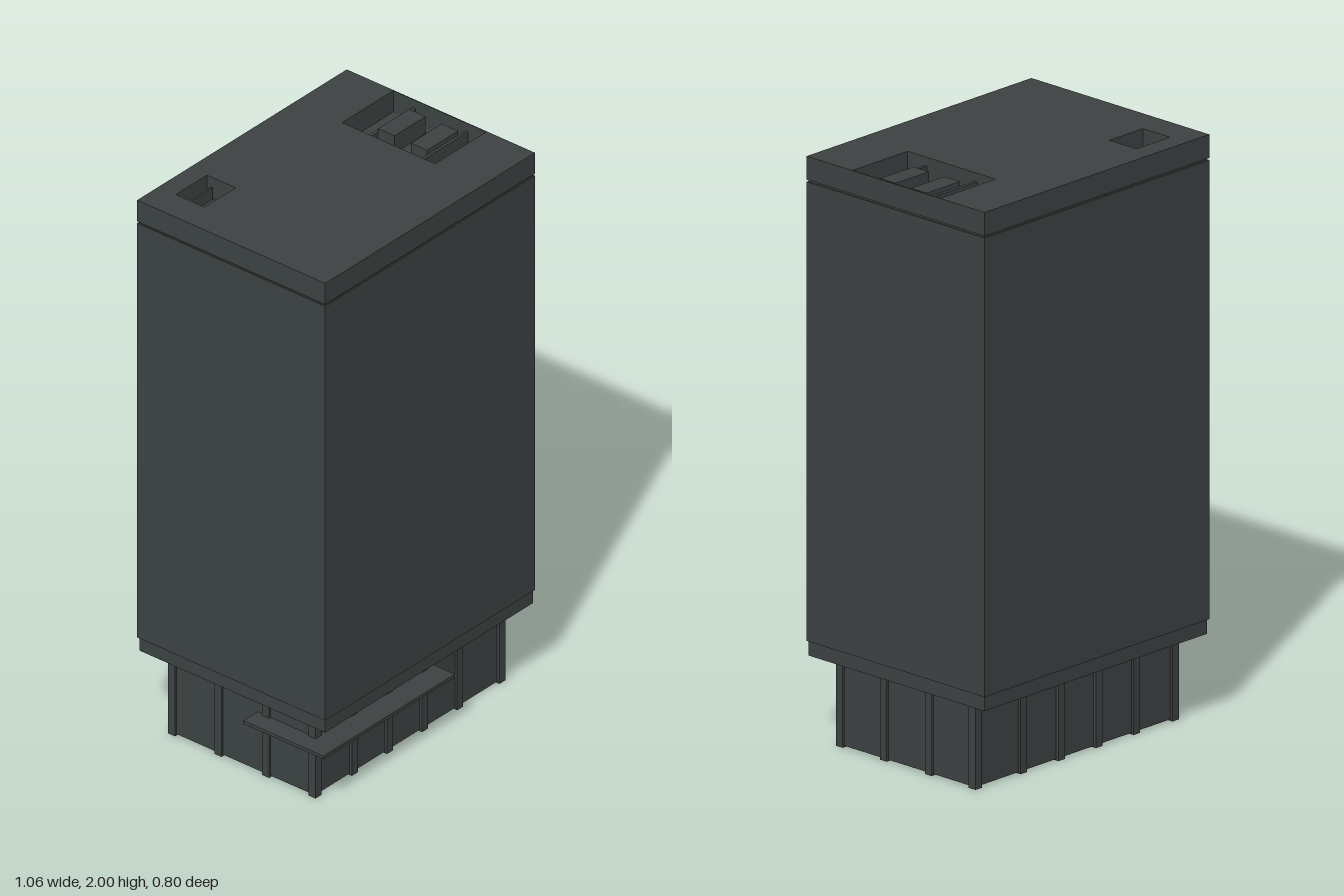
import * as THREE from 'three';

export function createModel() {
  const group = new THREE.Group();
  const slate = new THREE.MeshStandardMaterial({ color: 0x3d4242, side: THREE.DoubleSide });
  slate.name = 'dark slate';

  const add = (name, geometry) => {
    const mesh = new THREE.Mesh(geometry, slate);
    mesh.name = name;
    group.add(mesh);
    return mesh;
  };
  // Box given by its limits on each axis
  const box = (name, x0, x1, y0, y1, z0, z1) => {
    const mesh = add(name, new THREE.BoxGeometry(x1 - x0, y1 - y0, z1 - z0));
    mesh.position.set((x0 + x1) / 2, (y0 + y1) / 2, (z0 + z1) / 2);
    return mesh;
  };
  // Outline of points [x, z], extruded upwards
  const trace = (target, points) => target.setFromPoints(points.map(([x, z]) => new THREE.Vector2(x, -z)));
  const rect = (x0, x1, z0, z1) => [[x0, z0], [x0, z1], [x1, z1], [x1, z0]];
  const slab = (name, outline, holes, y0, y1) => {
    const shape = trace(new THREE.Shape(), outline);
    holes.forEach((h) => shape.holes.push(trace(new THREE.Path(), h)));
    const geometry = new THREE.ExtrudeGeometry(shape, { depth: y1 - y0, bevelEnabled: false });
    add(name, geometry.rotateX(-Math.PI / 2)).position.y = y0;
  };

  // Tower
  box('towerSkirt', -0.512, 0.524, 0.3, 0.35, -0.393, 0.387);
  box('towerBody', -0.517, 0.528, 0.35, 1.913, -0.398, 0.392);
  box('shadowGap', -0.512, 0.524, 1.913, 1.92, -0.393, 0.387);

  // Roof band with two sunken wells
  const smallWell = [-0.41, -0.255, -0.325, -0.205];
  const plantWell = [0.27, 0.525, -0.2, 0.19];
  slab('roofBand', rect(-0.517, 0.528, -0.398, 0.392),
    [rect(...smallWell), rect(...plantWell)], 1.92, 2);
  box('smallWellLedge', -0.405, -0.26, 1.92, 1.965, -0.305, -0.298);
  for (const [z0, z1] of [[-0.118, -0.106], [0.104, 0.114]]) {
    box('plantDivider', 0.27, 0.525, 1.92, 1.97, z0, z1);
  }
  for (const [z0, z1] of [[-0.104, -0.035], [0.034, 0.102]]) {
    box('plantUnit', 0.335, 0.49, 1.92, 1.985, z0, z1);
  }

  // Hollow ground floor, open underneath
  slab('groundFloorWalls', rect(-0.46, 0.47, -0.3, 0.3),
    [rect(-0.455, 0.465, -0.295, 0.295)], 0.005, 0.3);

  // Columns around the ground floor
  const columnX = [-0.453, -0.272, -0.097, 0.078, 0.253, 0.463];
  const columnZ = [-0.295, -0.1, 0.1, 0.295];
  const column = (x, z) => box('column', x - 0.015, x + 0.015, 0, 0.3, z - 0.015, z + 0.015);
  columnX.forEach((x) => [columnZ[0], columnZ[3]].forEach((z) => column(x, z)));
  columnZ.slice(1, 3).forEach((z) => [columnX[0], columnX[5]].forEach((x) => column(x, z)));

  // Canopy wrapping the front corner
  slab('canopy', [[-0.532, 0.06], [-0.532, 0.397], [0.123, 0.397], [0.123, 0.298],
    [-0.458, 0.298], [-0.458, 0.06]], [], 0.213, 0.225);

  // Tapered brackets under the canopy, profile running outwards from the wall
  const bracket = (x, z, reach, angle) => {
    const profile = new THREE.Shape([[0, 0.2], [reach, 0.213], [0, 0.213]]
      .map(([a, b]) => new THREE.Vector2(a, b)));
    const geometry = new THREE.ExtrudeGeometry(profile, { depth: 0.02, bevelEnabled: false });
    geometry.translate(0, 0, -0.01).rotateY(angle);
    add('canopyBracket', geometry).position.set(x, 0, z);
  };
  columnX.slice(0, 4).forEach((x) => bracket(x, 0.295, 0.095, -Math.PI / 2));
  [0.1, 0.295].forEach((z) => bracket(-0.455, z, 0.07, Math.PI));

  return group;
}
